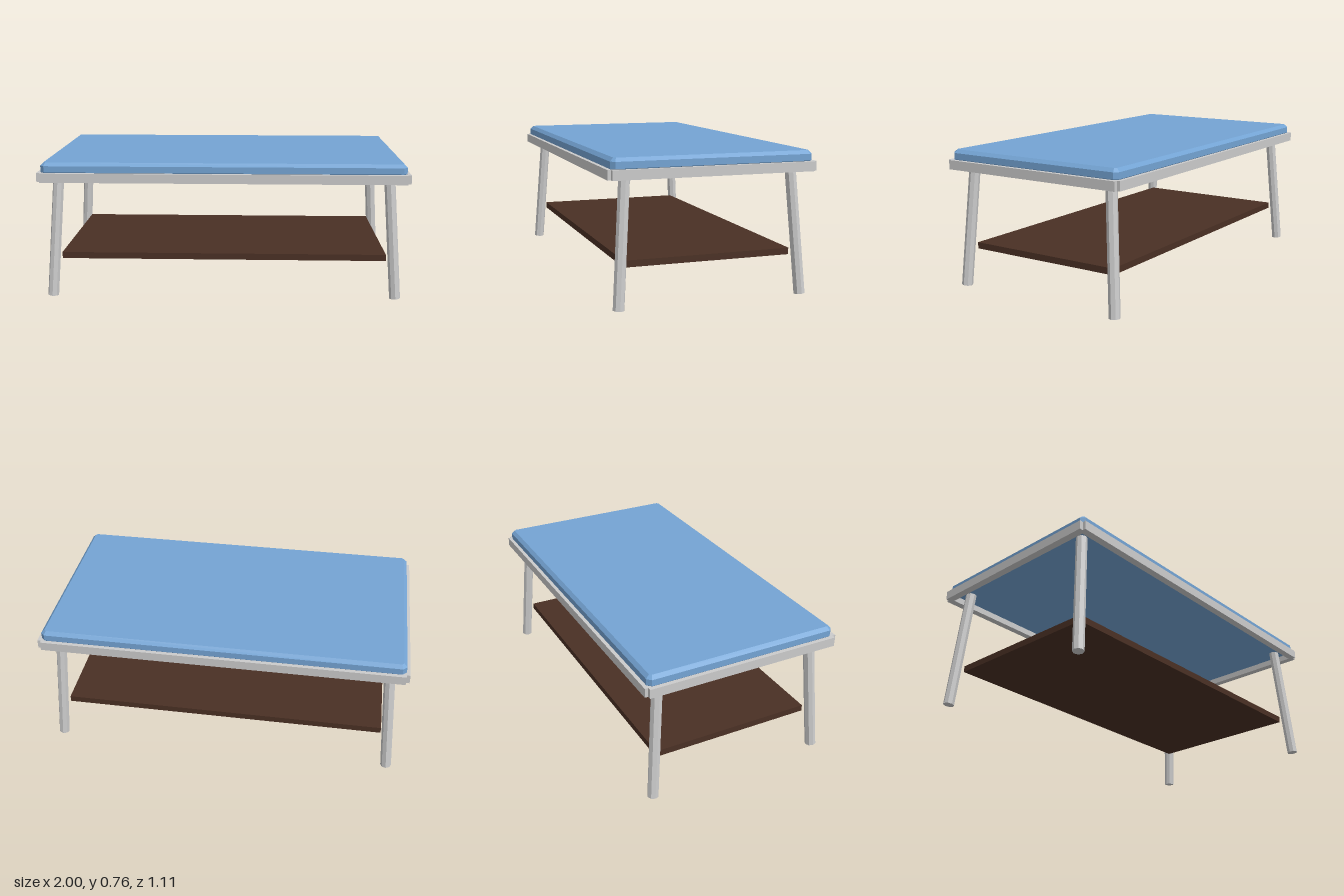
import * as THREE from 'three';

const grey = new THREE.MeshStandardMaterial({ color: 0xcccccc, flatShading: true });
const blue = new THREE.MeshStandardMaterial({ color: 0x74a4d4, flatShading: true });
const brown = new THREE.MeshStandardMaterial({ color: 0x4a3024, flatShading: true });

function add(parent, name, geometry, material, x = 0, y = 0, z = 0) {
  const mesh = new THREE.Mesh(geometry, material);
  mesh.name = name;
  mesh.position.set(x, y, z);
  parent.add(mesh);
  return mesh;
}

// Slab centred on the origin with every edge chamfered by c
function chamferedSlab(w, h, d, c) {
  const x = w / 2 - c, z = d / 2 - c, k = c * 0.6;
  const shape = new THREE.Shape([
    [x, -z + k], [x, z - k], [x - k, z], [-x + k, z],
    [-x, z - k], [-x, -z + k], [-x + k, -z], [x - k, -z],
  ].map(([a, b]) => new THREE.Vector2(a, b)));
  const geometry = new THREE.ExtrudeGeometry(shape, {
    depth: h - 2 * c, bevelEnabled: true, bevelSegments: 1, bevelSize: c, bevelThickness: c,
  });
  return geometry.translate(0, 0, c - h / 2).rotateX(-Math.PI / 2);
}

export function createModel() {
  const table = new THREE.Group();
  table.name = 'table';

  // Chamfered top
  add(table, 'tableTop', chamferedSlab(1.96, 0.07, 1.07, 0.018), blue, 0, 0.72, 0);

  // Frame of four bars, notched at the corners
  const frame = new THREE.Group();
  frame.name = 'frame';
  table.add(frame);
  for (const s of [-1, 1]) {
    add(frame, 'longRail', new THREE.BoxGeometry(1.96, 0.05, 0.04), grey, 0, 0.675, s * 0.533);
    add(frame, 'endRail', new THREE.BoxGeometry(0.04, 0.05, 1.07), grey, s * 0.98, 0.675, 0);
  }

  // Splayed eight-sided legs
  const up = new THREE.Vector3(0, 1, 0);
  for (const sx of [-1, 1]) for (const sz of [-1, 1]) {
    const foot = new THREE.Vector3(sx * 0.945, 0.003, sz * 0.493);
    const head = new THREE.Vector3(sx * 0.896, 0.69, sz * 0.444);
    const axis = head.clone().sub(foot);
    const leg = add(table, 'leg', new THREE.CylinderGeometry(0.03, 0.03, axis.length(), 8), grey);
    leg.position.copy(foot).add(head).multiplyScalar(0.5);
    leg.quaternion.setFromUnitVectors(up, axis.normalize());
  }

  // Lower shelf
  add(table, 'shelf', new THREE.BoxGeometry(1.79, 0.035, 0.9), brown, 0, 0.22, 0);

  return table;
}
